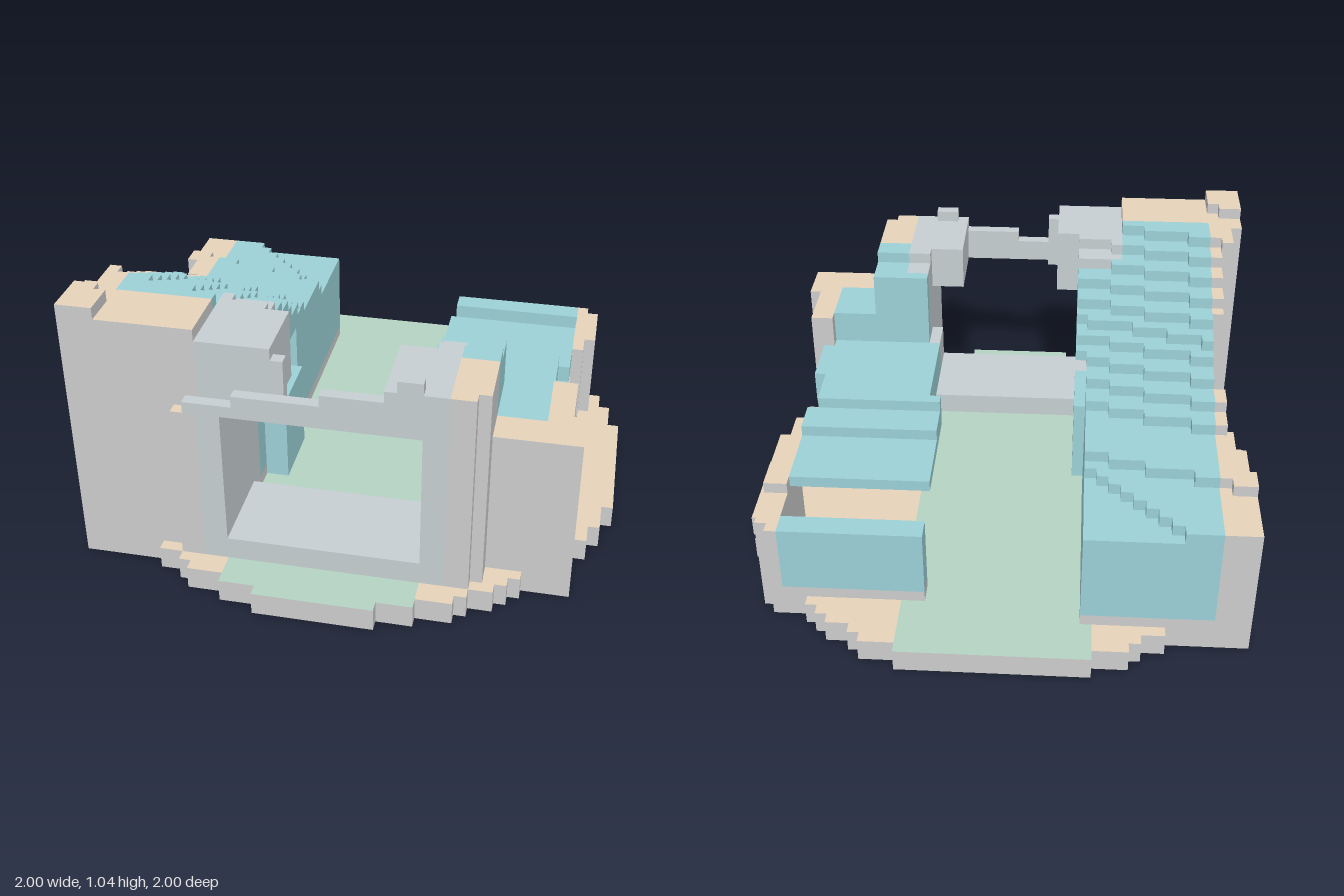
import * as THREE from 'three';

const U = 1 / 23; // one block
const mat = (color) => new THREE.MeshStandardMaterial({ color });
const GREY = mat(0xcccccc), STONE = mat(0xc6ced1), TEAL = mat(0x9bd0d6);
const BEIGE = mat(0xe6d2ba), GREEN = mat(0xb3d2c1);

// Box given by block limits; the top may differ from the sides
function block(parent, name, [x0, x1], [y0, y1], [z0, z1], side, top = side) {
  const geo = new THREE.BoxGeometry((x1 - x0) * U, (y1 - y0) * U, (z1 - z0) * U);
  const mesh = new THREE.Mesh(geo, side === top ? side : [side, side, top, side, side, side]);
  mesh.position.set((x0 + x1) / 2 * U, (y0 + y1) / 2 * U, (z0 + z1) / 2 * U);
  mesh.name = name;
  parent.add(mesh);
}

function group(parent, name) {
  const g = new THREE.Group();
  g.name = name;
  parent.add(g);
  return g;
}

// Height of the tall seating bank: climbs to the front and to the outside
const RISE = [-14, -8, -6, -4, -2, -0.5, 1, 3, 5, 7, 9, 14];
function bankHeight(x, z) {
  const s = z + 0.5 - 0.3 * (x + 21);
  const first = z - x - 7 < -10 ? 11 : 12;
  const steps = RISE.filter((r) => s > r).length;
  return Math.min(steps ? 12 + steps : first, x >= -10 ? 22 : x >= -18 ? 23 : 24);
}

// Outer face of the bank, hollowed in steps towards the middle
function bankOuter(z) {
  const d = Math.abs(z + 0.5);
  return d > 12 ? -21 : d > 9 ? -20 : d > 3 ? -19 : -18;
}

function bankZone(x, z) {
  if (z >= 9 && x >= -10) return 'stone';
  return x >= -18 && z < 13 ? 'teal' : 'beige';
}

export function createModel() {
  const model = new THREE.Group();
  model.name = 'ruinedTheatre';

  // Round stepped base, one strip per row, green along the middle
  const base = group(model, 'base');
  for (let z = -23; z < 23; z++) {
    const d = z + 1;
    const w = Math.min(23, Math.floor(Math.sqrt(552.25 - d * d) + 0.5));
    const g = Math.min(8, w);
    block(base, 'floorStrip', [-g, g], [0, 2], [z, z + 1], GREY, GREEN);
    if (w > g) for (const s of [-1, 1]) {
      block(base, 'outerFloorStrip', s < 0 ? [-w, -g] : [g, w], [0, 2], [z, z + 1], GREY, BEIGE);
    }
  }

  // Tall bank on the right, built of rows of equal height
  const bank = group(model, 'tallSeatingBank');
  for (let z = -19; z < 18; z++) {
    const inner = z < 1 ? -7 : z < 12 ? -6 : -4;
    let x = bankOuter(z);
    while (x < inner) {
      const h = bankHeight(x, z), zone = bankZone(x, z), hang = z >= -1 && x >= -8;
      let e = x + 1;
      while (e < inner && bankHeight(e, z) === h && bankZone(e, z) === zone
        && (z >= -1 && e >= -8) === hang) e++;
      const bottom = hang ? Math.min(z < 12 ? 15 : 16, h - 1) : 3;
      if (zone === 'beige') {
        block(bank, 'outerWall', [x, e], [0, h], [z, z + 1], GREY, BEIGE);
      } else {
        if (!hang) block(bank, 'footing', [x, e], [0, 3], [z, z + 1], GREY);
        block(bank, 'seatRow', [x, e], [bottom, h], [z, z + 1], zone === 'teal' ? TEAL : STONE);
      }
      x = e;
    }
  }
  block(bank, 'innerPier', [-8, -6], [2, 10], [1, 7], TEAL);

  // Gate: sill, front frame, lintel and the block on the other side
  const gate = group(model, 'gate');
  block(gate, 'sill', [-8, 8], [2, 4], [11, 19], STONE);
  block(gate, 'frameSide', [-12, -10], [2, 16], [18, 19], GREY, BEIGE);
  block(gate, 'frameSide', [-10, -8], [2, 16], [18, 19], STONE);
  block(gate, 'frameCap', [-11, -7], [16, 17], [18, 19], STONE);
  block(gate, 'lintel', [-7, 0], [16, 18], [18, 19], STONE);
  block(gate, 'lintel', [0, 5], [16, 19], [18, 19], STONE);
  block(gate, 'brokenEdge', [-4, -3], [16, 21], [17, 18], STONE);
  block(gate, 'gateBlock', [8, 10], [2, 20], [11, 19], STONE);
  block(gate, 'gateBlock', [8, 10], [2, 19], [9, 11], STONE);
  block(gate, 'gateBlockBack', [8, 10], [9, 19], [8, 9], TEAL);
  block(gate, 'gateOverhang', [5, 8], [16, 20], [12, 19], STONE);
  block(gate, 'gateBump', [6, 8], [20, 21], [18, 19], STONE);
  block(gate, 'gateOuter', [10, 13], [2, 20], [13, 18], GREY, BEIGE);
  block(gate, 'gateOuterFront', [10, 12], [2, 20], [18, 19], GREY, BEIGE);
  block(gate, 'gateInner', [10, 13], [3, 20], [11, 13], TEAL);
  block(gate, 'gateInner', [10, 13], [3, 19], [8, 11], TEAL);

  // Low bank on the left: floating seat slabs on a support
  const low = group(model, 'lowSeatingBank');
  const slabs = [[6, 18, 9, 10, -11, -5], [6, 18, 9, 11, -5, -2], [6, 17, 9, 12, -2, -1],
    [7, 17, 9, 12, -1, 2], [7, 18, 9, 12, 2, 8]];
  for (const [x0, x1, y0, y1, z0, z1] of slabs) {
    block(low, 'seatSlab', [x0, x1], [y0, y1], [z0, z1], TEAL);
  }
  block(low, 'slabEnd', [7, 8], [9, 12], [8, 11], STONE);
  block(low, 'support', [10, 17], [2, 9], [4, 8], TEAL);
  block(low, 'shoulder', [13, 17], [2, 15], [8, 13], TEAL);

  // Outer walls of the low bank, with a gap between them
  const walls = group(model, 'lowOuterWalls');
  block(walls, 'frontWall', [13, 20], [0, 15], [13, 16], GREY, BEIGE);
  block(walls, 'frontWall', [17, 20], [0, 15], [12, 13], GREY, BEIGE);
  block(walls, 'frontWall', [17, 19], [0, 15], [7, 12], GREY, BEIGE);
  block(walls, 'rearWall', [18, 19], [0, 10], [-9, -7], GREY, BEIGE);
  block(walls, 'rearWall', [18, 20], [0, 10], [-12, -9], GREY, BEIGE);
  block(walls, 'rearWall', [18, 20], [0, 9], [-16, -12], GREY, BEIGE);
  block(walls, 'rearWall', [18, 19], [0, 9], [-17, -16], GREY, BEIGE);
  block(walls, 'endWallFooting', [6, 18], [0, 3], [-17, -15], GREY);
  block(walls, 'endWall', [6, 18], [3, 9], [-17, -15], TEAL);

  return model;
}
